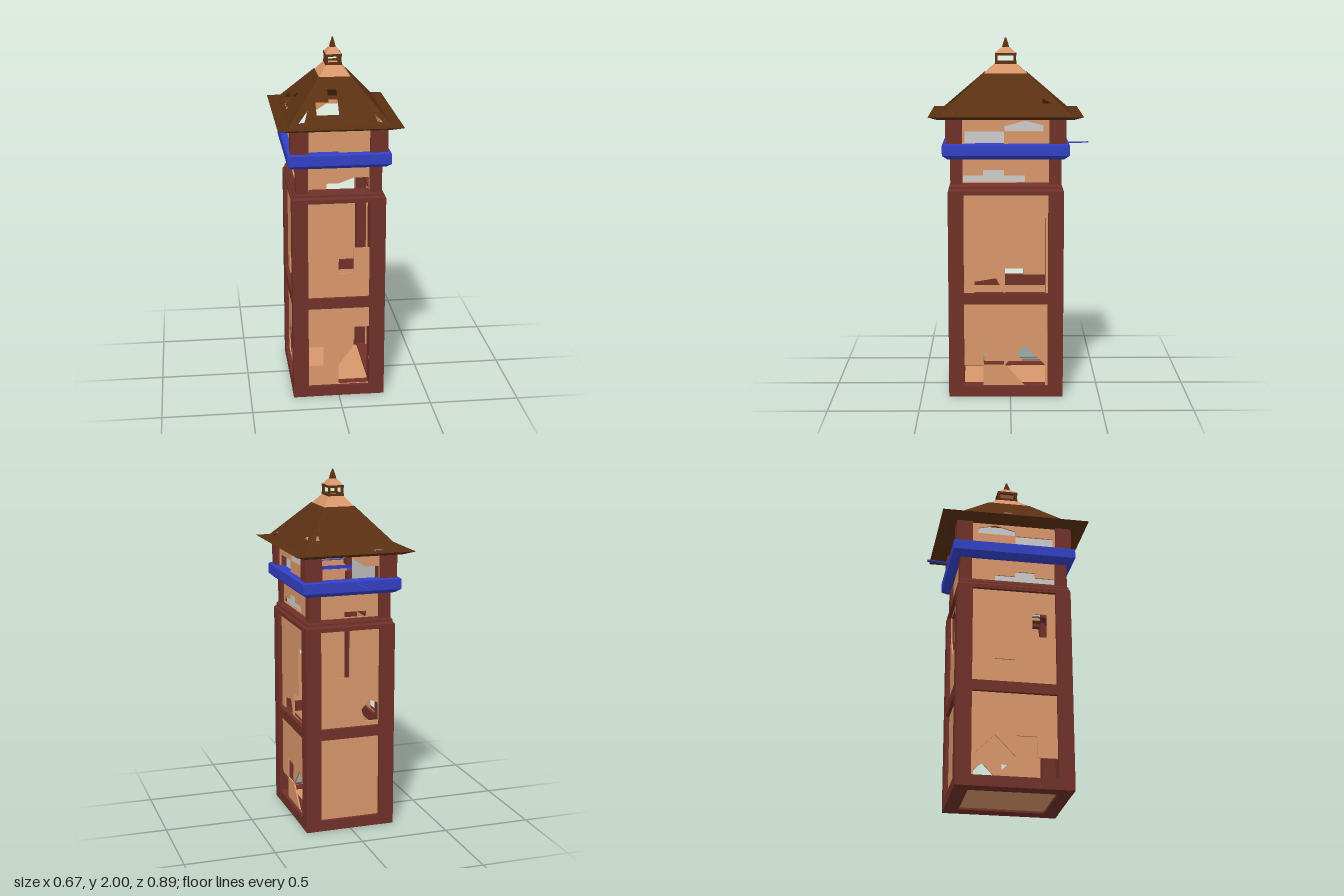
import * as THREE from 'three';

const mat = (color) => new THREE.MeshStandardMaterial({ color, flatShading: true, side: THREE.DoubleSide });
const ZC = 0.025; // depth centre of the tower

export function createModel() {
  const tan = mat(0xd8966a), brown = mat(0x5a3012), maroon = mat(0x6f3128);
  const blue = mat(0x3340c4), grey = mat(0xcccccc);
  const model = new THREE.Group();
  const tower = new THREE.Group();
  tower.name = 'tower';
  tower.position.z = ZC;
  model.add(tower);

  const add = (name, geo, material) => {
    const m = new THREE.Mesh(geo, material);
    m.name = name;
    tower.add(m);
    return m;
  };
  // Box given by its limits on each axis
  const box = (name, x0, x1, y0, y1, z0, z1, material) => {
    const g = new THREE.BoxGeometry(x1 - x0, y1 - y0, z1 - z0);
    g.translate((x0 + x1) / 2, (y0 + y1) / 2, (z0 + z1) / 2);
    return add(name, g, material);
  };
  // Four-sided surface through rectangular rings [halfX, halfZ, y]
  const loft = (name, rings, material) => {
    const p = [];
    const corner = ([a, b, y], k) => [k === 0 || k === 3 ? -a : a, y, k < 2 ? b : -b];
    for (let i = 0; i + 1 < rings.length; i++) {
      for (let k = 0; k < 4; k++) {
        const n = (k + 1) % 4;
        const a = corner(rings[i], k), b = corner(rings[i], n);
        const c = corner(rings[i + 1], n), d = corner(rings[i + 1], k);
        p.push(...a, ...b, ...c, ...a, ...c, ...d);
      }
    }
    const g = new THREE.BufferGeometry();
    g.setAttribute('position', new THREE.Float32BufferAttribute(p, 3));
    g.computeVertexNormals();
    return add(name, g, material);
  };
  const polygon = (pts) => pts.map(([u, v]) => new THREE.Vector2(u, v));
  const holedShape = (outline, holes) => {
    const s = new THREE.Shape(polygon(outline));
    holes.forEach((h) => s.holes.push(new THREE.Path(polygon(h))));
    return s;
  };
  const rect = (a, b, c, d) => [[a, c], [b, c], [b, d], [a, d]];
  // Broken wall panel; alongZ turns it to face sideways
  const wall = (name, half, y0, y1, at, holes, alongZ) => {
    const moved = holes.map((h) => h.map(([u, v]) => [alongZ ? u - ZC : u, v]));
    const g = new THREE.ExtrudeGeometry(holedShape(rect(-half, half, y0, y1), moved), { depth: 0.008, bevelEnabled: false });
    g.translate(0, 0, -0.004);
    if (alongZ) g.rotateY(-Math.PI / 2);
    g.translate(alongZ ? at : 0, 0, alongZ ? 0 : at);
    add(name, g, tan);
  };
  // Four corner posts
  const posts = (name, hx, hz, wx, wz, y0, y1) => {
    for (const sx of [-1, 1]) for (const sz of [-1, 1]) {
      const cx = sx * (hx - wx / 2), cz = sz * (hz - wz / 2);
      box(name, cx - wx / 2, cx + wx / 2, y0, y1, cz - wz / 2, cz + wz / 2, maroon);
    }
  };

  // Lower frame
  const HX = 0.257, HZ = 0.32;
  posts('cornerPost', HX, HZ, 0.086, 0.086, 0, 1.165);
  for (const [y0, y1, d] of [[0, 0.06, 0.08], [0.535, 0.595, 0.045], [1.15, 1.165, 0.06]]) {
    for (const s of [-1, 1]) {
      const z = s * (HZ - 0.001 - d / 2), x = s * (HX - 0.001 - d / 2);
      box('crossBeam', -0.18, 0.18, y0, y1, z - d / 2, z + d / 2, maroon);
      box('sideBeam', x - d / 2, x + d / 2, y0, y1, -0.24, 0.24, maroon);
    }
  }
  box('floor', -0.18, 0.18, 0.012, 0.05, -0.245, 0.245, tan);

  // Lower walls, with broken openings
  const fz = HZ - 0.025, sx = HX - 0.025;
  wall('frontLowerPanel', 0.2, 0.03, 0.56, fz, [
    rect(-0.17, -0.085, 0.18, 0.295),
    [[0, 0.06], [0.171, 0.06], [0.171, 0.41], [0.085, 0.41], [0.085, 0.295], [0, 0.18]],
  ]);
  wall('backLowerPanel', 0.2, 0.03, 0.56, -fz, []);
  wall('frontUpperPanel', 0.2, 0.56, 1.16, fz, [
    rect(0, 0.084, 0.735, 0.879),
    [[0, 1.02], [0.085, 0.882], [0.171, 0.882], [0.171, 1.15], [0.085, 1.15]],
  ]);
  wall('backUpperPanel', 0.2, 0.56, 1.16, -fz, [
    [[0, 0.88], [0.085, 0.88], [0.17, 1.02], [0.17, 1.15], [0, 1.15]],
    [[-0.17, 0.62], [-0.09, 0.62], [-0.07, 0.69], [-0.12, 0.74], [-0.17, 0.72]],
  ]);
  const sideLow = [
    [[0.265, 0.06], [0.152, 0.06], [0.152, 0.178], [0.265, 0.178]],
    [[0.15, 0.18], [0.035, 0.18], [0.035, 0.295], [0.15, 0.295]],
    [[0.03, 0.18], [-0.08, 0.06], [-0.195, 0.06], [-0.195, 0.18], [-0.08, 0.295]],
  ];
  wall('rightLowerPanel', 0.26, 0.03, 0.56, sx, sideLow, true);
  wall('leftLowerPanel', 0.26, 0.03, 0.56, -sx, sideLow, true);
  wall('rightUpperPanel', 0.26, 0.56, 1.16, sx, [
    [[0.2, 0.595], [0.035, 0.595], [0.08, 0.68], [0.2, 0.66]],
    [[0.03, 0.595], [-0.195, 0.595], [-0.195, 1.02], [-0.08, 1.02], [-0.08, 0.735], [0.03, 0.735]],
  ], true);
  wall('leftUpperPanel', 0.26, 0.56, 1.16, -sx, [
    rect(-0.08, 0.03, 0.595, 0.735), rect(0.13, 0.21, 0.88, 1.02),
  ], true);

  // Ledge between the storeys
  loft('ledge', [[0.2, 0.26, 1.165], [0.257, 0.318, 1.165], [0.257, 0.318, 1.172], [0.246, 0.31, 1.185],
    [0.246, 0.31, 1.195], [0.23, 0.3, 1.215], [0.19, 0.26, 1.215]], maroon);

  // Upper storey posts and walls
  posts('lookoutPost', 0.235, 0.305, 0.067, 0.067, 1.2, 1.37);
  posts('lookoutUpperPost', 0.262, 0.329, 0.095, 0.09, 1.41, 1.575);
  for (const s of [-1, 1]) {
    const front = s > 0;
    wall('lookoutLowerWall', 0.18, 1.2, 1.38, s * 0.285, [front
      ? [[-0.165, 1.215], [0.165, 1.215], [0.165, 1.285], [0.085, 1.285], [0, 1.255], [-0.165, 1.255]]
      : rect(-0.1, 0.05, 1.22, 1.25)]);
    wall('lookoutUpperWall', 0.19, 1.4, 1.575, s * 0.305, [front
      ? [[-0.16, 1.43], [0, 1.43], [0, 1.5], [-0.085, 1.5], [-0.16, 1.47]]
      : [[-0.165, 1.43], [0.165, 1.43], [0.165, 1.55], [0, 1.555], [-0.085, 1.5], [-0.165, 1.5]]]);
    wall('lookoutSideLowerWall', 0.25, 1.2, 1.38, s * 0.215, [[[0.26, 1.22], [-0.08, 1.22], [-0.08, 1.255],
      [0.035, 1.255], [0.035, 1.285], [0.15, 1.285], [0.15, 1.255], [0.26, 1.255]]], true);
    wall('lookoutSideUpperWall', 0.26, 1.4, 1.575, s * 0.24, [
      rect(0.035, 0.25, 1.43, 1.5),
      [[0.033, 1.502], [-0.18, 1.502], [-0.18, 1.535], [-0.08, 1.56], [0.033, 1.53]],
    ], true);
    // Pale lining behind the side walls
    box('lookoutLining', s * 0.2 - 0.003, s * 0.2 + 0.003, 1.215, 1.57, -0.24, 0.24, grey);
  }

  // Blue band and a loose splinter of it at the back
  loft('band', [[0.23, 0.3, 1.345], [0.255, 0.32, 1.35], [0.28, 0.348, 1.372], [0.28, 0.348, 1.428],
    [0.272, 0.34, 1.434], [0.22, 0.29, 1.434]], blue);
  const splinter = box('bandSplinter', -0.009, 0.009, -0.003, 0.003, -0.06, 0.06, blue);
  splinter.position.set(-0.03, 1.41, -0.41);
  splinter.rotation.y = 0.12;

  // Flared eave
  loft('eave', [[0.235, 0.3, 1.566], [0.275, 0.368, 1.566], [0.335, 0.42, 1.587], [0.28, 0.368, 1.59]], brown);

  // Roof slopes with broken openings; holes are in metres along and fraction up
  const slope = (name, half, topHalf, out, topOut, turn, holes) => {
    const outline = [[-half, 0], [half, 0], [topHalf, 1], [-topHalf, 1]];
    const g = new THREE.ShapeGeometry(holedShape(outline, holes));
    const p = g.attributes.position;
    for (let i = 0; i < p.count; i++) {
      const t = p.getY(i);
      p.setXYZ(i, p.getX(i), THREE.MathUtils.lerp(1.585, 1.805, t), THREE.MathUtils.lerp(out, topOut, t));
    }
    g.rotateY(turn);
    g.computeVertexNormals();
    add(name, g, brown);
  };
  slope('frontRoof', 0.28, 0.088, 0.368, 0.12, 0, [
    [[-0.12, 0.25], [0, 0.25], [0, 0.75], [-0.05, 0.75], [-0.05, 0.5], [-0.12, 0.5]],
    [[-0.22, 0.1], [-0.19, 0.1], [-0.165, 0.35]], [[0.2, 0.1], [0.23, 0.08], [0.19, 0.25]],
  ]);
  slope('backRoof', 0.28, 0.088, 0.368, 0.12, Math.PI, [
    [[-0.19, 0.3], [-0.17, 0.3], [-0.17, 0.5]], rect(0.12, 0.17, 0.02, 0.06)]);
  slope('rightRoof', 0.368, 0.12, 0.28, 0.088, Math.PI / 2, [
    [[0.2, 0.3], [0.25, 0.3], [0.2, 0.42]], [[-0.29, 0.06], [-0.26, 0.06], [-0.25, 0.2]]]);
  slope('leftRoof', 0.368, 0.12, 0.28, 0.088, -Math.PI / 2, [
    rect(-0.2, -0.165, 0.12, 0.3), rect(-0.15, -0.11, 0.15, 0.3), rect(-0.1, -0.065, 0.1, 0.26),
    rect(-0.055, -0.025, 0.02, 0.14), rect(-0.05, 0, 0.36, 0.46), rect(0, 0.035, 0.06, 0.2)]);

  // Pale crown, open lantern, cap and spike
  loft('crown', [[0.088, 0.12, 1.8], [0.04, 0.056, 1.86], [0, 0, 1.86]], tan);
  posts('lanternPost', 0.043, 0.058, 0.012, 0.014, 1.855, 1.915);
  tower.children.filter((m) => m.name === 'lanternPost').forEach((m) => { m.material = brown; });
  for (const y of [1.856, 1.902]) loft('lanternRing',
    [[0.03, 0.044, y], [0.045, 0.06, y], [0.045, 0.06, y + 0.013], [0.03, 0.044, y + 0.013], [0.03, 0.044, y]], brown);
  loft('cap', [[0, 0, 1.913], [0.044, 0.058, 1.913], [0.016, 0.02, 1.948]], tan);
  loft('spike', [[0.016, 0.02, 1.945], [0.012, 0.015, 1.965], [0.003, 0.004, 2], [0, 0, 2]], brown);

  return model;
}
